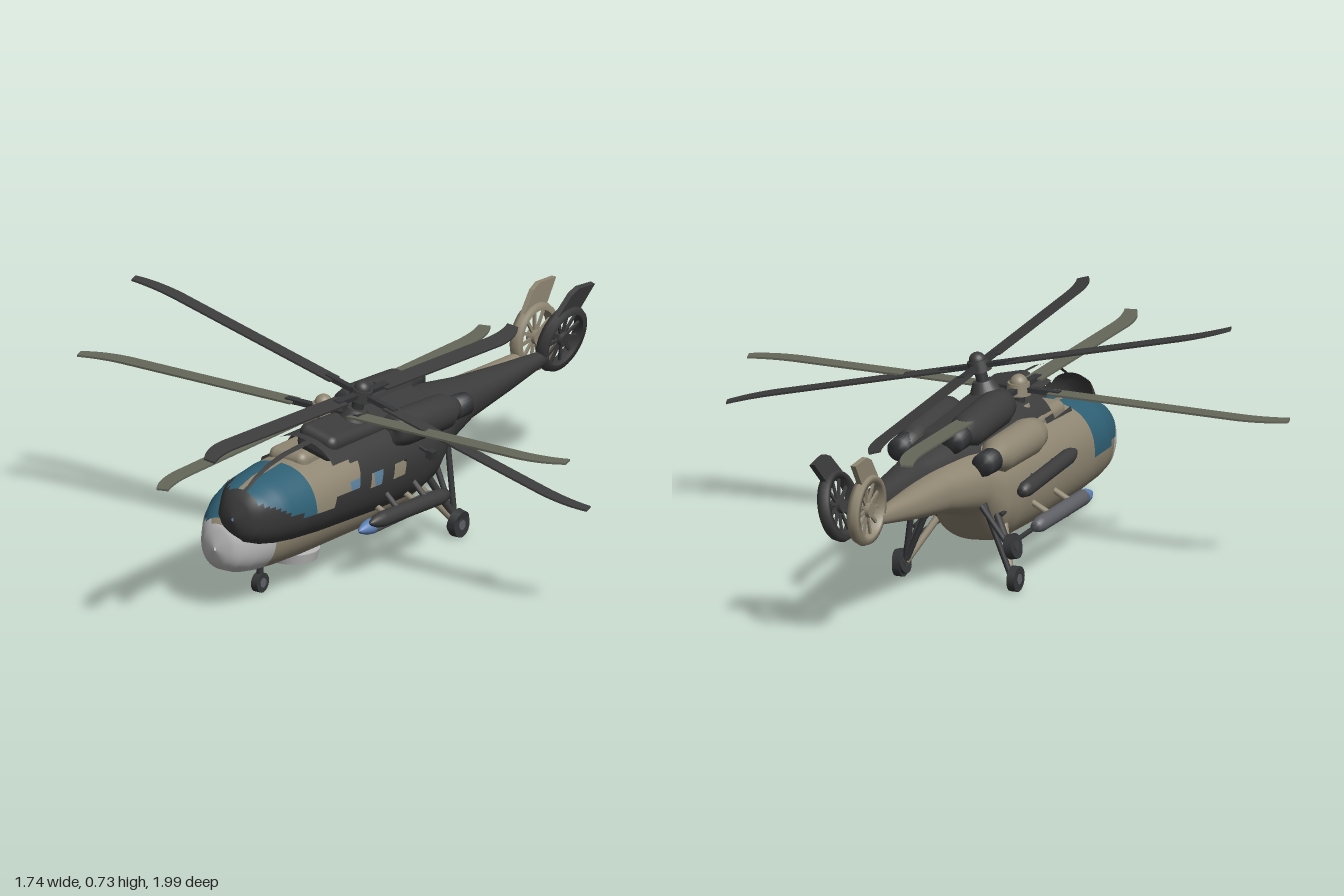
import * as THREE from 'three';
import { RoundedBoxGeometry } from 'three/addons/geometries/RoundedBoxGeometry.js';

const mat = (name, color) => {
  const m = new THREE.MeshStandardMaterial({ color });
  m.name = name;
  m.side = THREE.DoubleSide;
  return m;
};
const HUB = [0, 0.47, 0.16];

// hull cross-sections: z, half width, bottom, top
const STATIONS = [
  [0.69, 0.004, 0.19, 0.2], [0.68, 0.045, 0.15, 0.25], [0.66, 0.07, 0.125, 0.28],
  [0.62, 0.095, 0.108, 0.315], [0.57, 0.115, 0.1, 0.34], [0.5, 0.13, 0.095, 0.358],
  [0.38, 0.138, 0.09, 0.37], [0.1, 0.14, 0.085, 0.38], [-0.1, 0.135, 0.09, 0.385],
  [-0.17, 0.125, 0.11, 0.385], [-0.24, 0.1, 0.205, 0.385], [-0.4, 0.062, 0.25, 0.375],
  [-0.6, 0.04, 0.285, 0.368], [-0.8, 0.018, 0.325, 0.365],
];

// which surface a hull cell belongs to: 0 paint, 1 canopy glass, 2 radome, 3 side window, 4 door panel
function zone(x, y, z) {
  const ax = Math.abs(x);
  if (z > 0.56 && y < 0.235 + (z - 0.56) * 0.3) return 2;
  if (z > 0.38 && z < 0.66 && y > 0.225) return ax < 0.008 ? 0 : 1;
  if (ax > 0.08 && y > 0.235 && y < 0.285 && ((z > 0.16 && z < 0.22) || (z > 0.03 && z < 0.1))) return 3;
  if (ax > 0.07 && y > 0.25 && y < 0.335 && z > 0.27 && z < 0.38) return 4;
  return 0;
}

function hullGeometry(open) {
  const seg = 64, rings = [], pos = [], cells = [[], [], [], [], []], all = [];
  STATIONS.forEach((s, i) => {
    const n = STATIONS[i + 1];
    if (!n) return rings.push(s);
    const steps = Math.ceil((s[0] - n[0]) / 0.02);
    for (let k = 0; k < steps; k++) rings.push(s.map((v, q) => v + (n[q] - v) * k / steps));
  });
  const pw = (v) => Math.sign(v) * Math.abs(v) ** 0.88;
  for (const [z, w, lo, hi] of rings) {
    for (let j = 0; j < seg; j++) {
      const a = (j + 0.5) / seg * Math.PI * 2;
      pos.push(w * pw(Math.cos(a)), (lo + hi) / 2 + (hi - lo) / 2 * pw(Math.sin(a)), z);
    }
  }
  for (let i = 0; i < rings.length - 1; i++) {
    for (let j = 0; j < seg; j++) {
      const a = i * seg + j, b = i * seg + (j + 1) % seg, c = a + seg, d = b + seg;
      const mid = [0, 1, 2].map((q) => (pos[a * 3 + q] + pos[b * 3 + q] + pos[c * 3 + q] + pos[d * 3 + q]) / 4);
      cells[zone(...mid)].push(a, c, b, b, c, d);
      all.push(a, c, b, b, c, d);
    }
  }
  const g = new THREE.BufferGeometry();
  g.setAttribute('position', new THREE.Float32BufferAttribute(pos, 3));
  g.setIndex(all);
  g.computeVertexNormals();
  const index = [];
  cells.forEach((list, k) => {
    if (open && (k === 1 || k > 2)) return;
    g.addGroup(index.length, list.length, k);
    index.push(...list);
  });
  g.setIndex(index);
  return g;
}

// one helicopter; an open one has no glazing in its frames
function helicopter(name, c, open, bladeScale) {
  const root = new THREE.Group();
  root.name = name;
  const add = (part, geo, material, p = [0, 0, 0], parent = root) => {
    const m = new THREE.Mesh(geo, material);
    m.name = part;
    m.position.set(...p);
    parent.add(m);
    return m;
  };
  const rod = (part, a, b, r, material) => {
    const A = new THREE.Vector3(...a), B = new THREE.Vector3(...b);
    const m = add(part, new THREE.CylinderGeometry(r, r, A.distanceTo(B), 10), material);
    m.position.copy(A).lerp(B, 0.5);
    m.quaternion.setFromUnitVectors(new THREE.Vector3(0, 1, 0), B.sub(A).normalize());
    return m;
  };
  // solid of revolution along z; profile is [radius, z]
  const turned = (part, profile, material, p) => add(part,
    new THREE.LatheGeometry(profile.map(([r, z]) => new THREE.Vector2(r, z)), 24).rotateX(Math.PI / 2), material, p);

  add('hull', hullGeometry(open), [c.paint, c.glass, c.nose, c.window, c.paint]);
  add('roofCowling', new RoundedBoxGeometry(0.13, 0.08, 0.54, 3, 0.025), c.paint, [0, 0.355, 0.08]);
  add('radarDome', new THREE.CylinderGeometry(0.078, 0.07, 0.03, 32), c.nose, [0, 0.078, 0.31]);

  for (const s of [-1, 1]) {
    // engines
    turned('enginePod', [[0.001, -0.25], [0.032, -0.25], [0.036, -0.2], [0.052, -0.17], [0.055, 0.03], [0.045, 0.08], [0.03, 0.09], [0.001, 0.08]],
      c.paint, [s * 0.085, 0.37, 0]);
    turned('exhaust', [[0.001, -0.275], [0.034, -0.275], [0.036, -0.215], [0.001, -0.215]], c.metal, [s * 0.088, 0.37, 0]);
    // stores on side pylons
    turned('torpedoBody', [[0.001, -0.13], [0.016, -0.13], [0.023, -0.1], [0.023, 0.19], [0.001, 0.19]], c.store, [s * 0.188, 0.16, 0]);
    turned('torpedoNose', [[0.023, 0.19], [0.019, 0.215], [0.009, 0.24], [0.001, 0.248]], c.tip, [s * 0.188, 0.16, 0]);
    for (const z of [-0.03, 0.11]) rod('pylon', [s * 0.11, 0.21, z], [s * 0.188, 0.17, z], 0.009, c.paint);
    rod('sideRail', [s * 0.14, 0.13, 0.1], [s * 0.14, 0.12, -0.2], 0.007, c.metal);
    // main gear
    rod('mainStrut', [s * 0.09, 0.19, -0.14], [s * 0.165, 0.045, -0.25], 0.011, c.paint);
    rod('mainBrace', [s * 0.08, 0.25, -0.25], [s * 0.165, 0.045, -0.25], 0.009, c.metal);
    add('mainWheel', new THREE.CylinderGeometry(0.037, 0.037, 0.024, 20).rotateZ(Math.PI / 2), c.metal, [s * 0.18, 0.037, -0.25]);
    add('mainWheelHub', new THREE.CylinderGeometry(0.015, 0.015, 0.028, 12).rotateZ(Math.PI / 2), c.store, [s * 0.18, 0.037, -0.25]);
  }
  rod('hoistArm', [0.1, 0.31, -0.03], [0.17, 0.305, -0.03], 0.006, c.metal);
  add('hoist', new THREE.BoxGeometry(0.02, 0.025, 0.025), c.metal, [0.165, 0.303, -0.03]);

  // nose gear
  rod('noseStrut', [0, 0.11, 0.47], [0, 0.03, 0.47], 0.01, c.metal);
  add('noseWheel', new THREE.CylinderGeometry(0.029, 0.029, 0.022, 20).rotateZ(Math.PI / 2), c.metal, [0, 0.032, 0.47]);
  add('noseWheelHub', new THREE.CylinderGeometry(0.014, 0.014, 0.026, 12).rotateZ(Math.PI / 2), c.store, [0, 0.032, 0.47]);

  // shrouded tail fan
  const fan = new THREE.Group();
  fan.name = 'tailFan';
  fan.position.set(0, 0.39, -0.87);
  root.add(fan);
  const ring = [[0.08, -0.017], [0.098, -0.017], [0.105, 0], [0.098, 0.017], [0.08, 0.017], [0.08, -0.017]];
  add('fanRing', new THREE.LatheGeometry(ring.map((p) => new THREE.Vector2(...p)), 40).rotateZ(Math.PI / 2), c.paint, [0, 0, 0], fan);
  add('fanHub', new THREE.CylinderGeometry(0.022, 0.022, 0.03, 16).rotateZ(Math.PI / 2), c.paint, [0, 0, 0], fan);
  for (let i = 0; i < 11; i++) {
    const blade = add('fanBlade', new THREE.BoxGeometry(0.006, 0.07, 0.01).translate(0, 0.05, 0), c.paint, [0, 0, 0], fan);
    blade.rotation.x = i / 11 * Math.PI * 2;
  }
  const finShape = new THREE.Shape([[0.04, 0.08], [0.06, 0.085], [0.015, 0.145], [-0.015, 0.16], [-0.095, 0.155], [-0.045, 0.08]]
    .map((p) => new THREE.Vector2(...p)));
  add('tailFin', new THREE.ExtrudeGeometry(finShape, { depth: 0.016, bevelEnabled: false }).rotateY(-Math.PI / 2).translate(0.008, 0, 0),
    c.paint, [0, 0, 0], fan);

  // main rotor
  rod('mast', [0, 0.37, 0.16], [0, 0.48, 0.16], 0.018, c.metal);
  add('mastFairing', new THREE.CylinderGeometry(0.03, 0.05, 0.04, 20), c.paint, [0, 0.405, 0.16]);
  const rotor = new THREE.Group();
  rotor.name = 'mainRotor';
  rotor.position.set(...HUB);
  rotor.scale.setScalar(bladeScale);
  root.add(rotor);
  add('rotorHub', new THREE.CylinderGeometry(0.032, 0.036, 0.035, 20), c.paint, [0, 0, 0], rotor);
  add('rotorCap', new THREE.SphereGeometry(0.026, 20, 10, 0, Math.PI * 2, 0, Math.PI / 2), c.paint, [0, 0.016, 0], rotor);
  const b = new THREE.Shape();
  b.moveTo(-0.026, 0.1);
  b.lineTo(0.026, 0.1);
  b.lineTo(0.026, 0.69);
  b.quadraticCurveTo(0.028, 0.77, 0.052, 0.83);
  b.lineTo(0.018, 0.84);
  b.quadraticCurveTo(-0.022, 0.78, -0.026, 0.69);
  const bladeGeo = new THREE.ExtrudeGeometry(b, { depth: 0.006, bevelEnabled: false }).rotateX(Math.PI / 2).translate(0, 0.003, 0);
  for (let i = 0; i < 4; i++) {
    const arm = new THREE.Group();
    arm.name = 'rotorArm';
    arm.rotation.y = i * Math.PI / 2;
    rotor.add(arm);
    add('rotorBlade', bladeGeo, c.blade, [0, 0, 0], arm);
    add('bladeCuff', new THREE.BoxGeometry(0.022, 0.014, 0.11), c.metal, [0, 0, 0.075], arm);
  }
  return root;
}

export function createModel() {
  const dark = mat('charcoal', 0x3d3c3c);
  const metal = mat('dark metal', 0x353638);
  const tan = {
    paint: mat('tan paint', 0x8f8672), glass: mat('teal glass', 0x2f6075), nose: mat('light grey', 0xbcbcbc),
    window: mat('window blue', 0x5b7f9c), metal, store: mat('store grey', 0x5e6066),
    tip: mat('blue tip', 0x5d82b8), blade: mat('olive blade', 0x66675a),
  };
  const grey = { paint: dark, glass: dark, nose: dark, window: dark, metal, store: dark, tip: dark, blade: dark };

  const model = new THREE.Group();
  model.name = 'helicopterPair';
  const first = helicopter('tanHelicopter', tan, false, 1);
  first.position.x = -0.031;
  model.add(first);

  // the second machine is banked and pitched about its rotor hub
  const second = helicopter('charcoalHelicopter', grey, true, 0.96);
  second.position.set(...HUB.map((v) => -v));
  const bank = new THREE.Group();
  bank.name = 'bankedHelicopter';
  bank.position.set(0.083, 0.53, 0.135);
  bank.rotation.set(-0.056, 0, -0.247, 'ZXY');
  bank.add(second);
  model.add(bank);
  return model;
}
